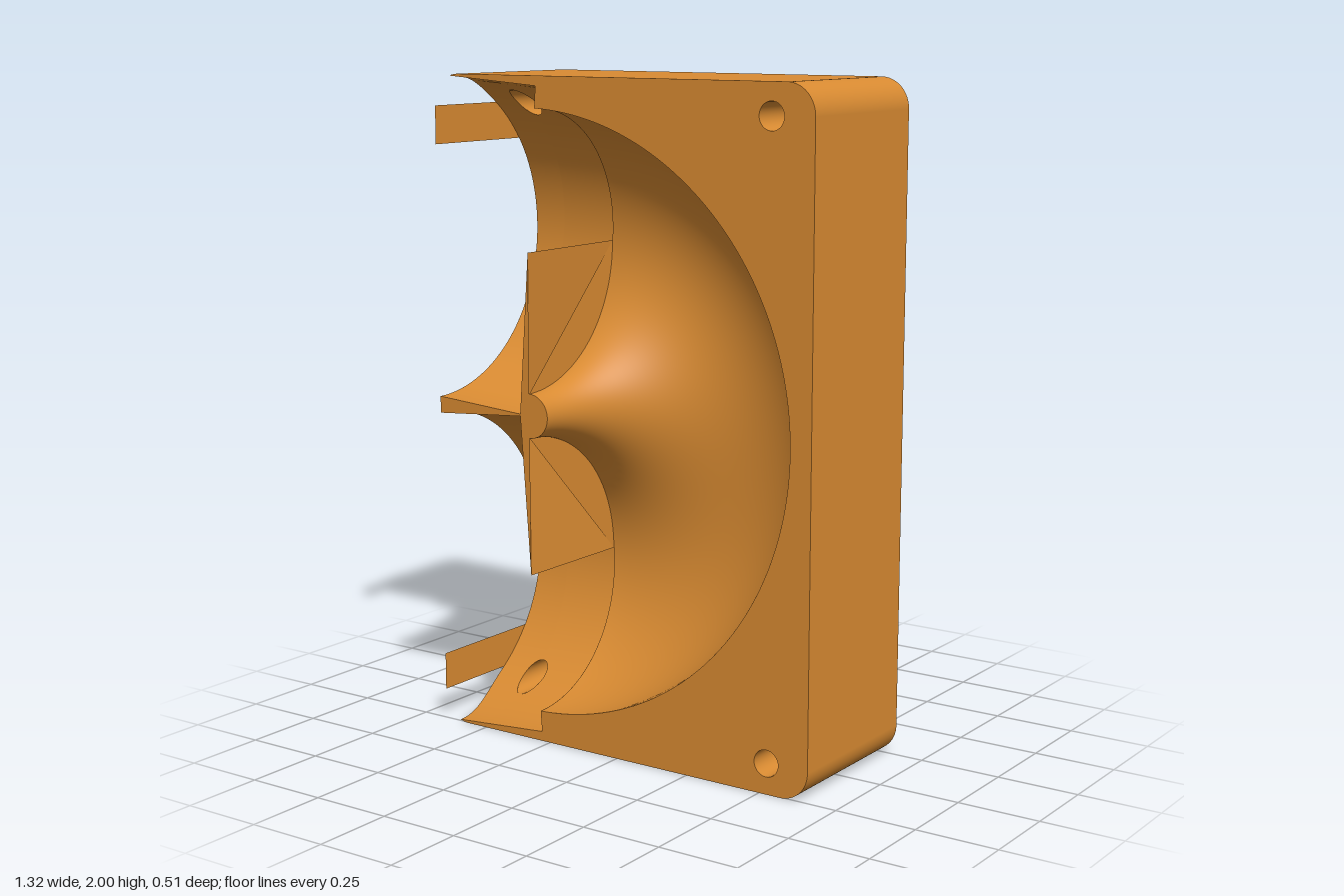
import * as THREE from 'three';

// Block size (worked with y centred on 0, lifted at the end)
const W = 0.66, H = 1, Z = 0.255, RC = 0.09;
const CX = W - RC, CY = H - RC;
// Bend: half torus about (BX, 0); ports: wider cylinders tilted by A
const BX = -0.315, R = 0.487, RT = 0.42, RP = 0.485, A = 0.072;
const SA = Math.sin(A), CA = Math.cos(A);
// Screw holes and nut pockets
const HX = 0.523, HY = 0.908, RH = 0.04, RHEX = 0.08, ZP = -0.195;
const PI = Math.PI;

const V = (x, y, z) => new THREE.Vector3(x, y, z);
const range = (n, f) => Array.from({ length: n + 1 }, (_, i) => f(i / n));

// Surface through rows of points
function grid(rows) {
  const n = rows[0].length, index = [];
  for (let i = 0; i < rows.length - 1; i++)
    for (let j = 0; j < n - 1; j++) {
      const a = i * n + j, b = a + n;
      index.push(a, b, b + 1, a, b + 1, a + 1);
    }
  const g = new THREE.BufferGeometry().setFromPoints(rows.flat());
  g.setIndex(index);
  g.computeVertexNormals();
  return g;
}

// Flat shape whose points are moved into place by a rule
function mapped(shape, fn) {
  const g = new THREE.ShapeGeometry(shape, 64), p = g.attributes.position;
  for (let i = 0; i < p.count; i++) p.setXYZ(i, ...fn(p.getX(i), p.getY(i)));
  g.computeVertexNormals();
  return g;
}

function mirrorY(geo) {
  const g = geo.clone().scale(1, -1, 1);
  g.setIndex(Array.from(g.index.array).reverse());
  return g;
}

// Point of the upper port frame: s along the axis, v across, w into the block
const port = (s, v, w) => V(BX - CA * s + SA * v, R + SA * s + CA * v, Z - w);

// Front limit of the material at (x, y), taking the ports into account
function frontZ(x, y) {
  const dx = x - BX, dy = Math.abs(y) - R;
  const s = -CA * dx + SA * dy, v = SA * dx + CA * dy;
  return s > 0 && Math.abs(v) < RP ? Z - Math.sqrt(RP * RP - v * v) : Z;
}

// Distance along the port at which it leaves the block
function portEnd(v) {
  const p = port(0, v, 0), s = (p.x + W) / CA;
  if (p.y + s * SA <= CY) return s;
  const qx = p.x + CX, qy = p.y - CY, b = -CA * qx + SA * qy;
  return -b + Math.sqrt(Math.max(0, b * b - qx * qx - qy * qy + RC * RC));
}

function roundedRect() {
  const s = new THREE.Shape();
  s.absarc(CX, -CY, RC, -PI / 2, 0);
  s.absarc(CX, CY, RC, 0, PI / 2);
  s.absarc(-CX, CY, RC, PI / 2, PI);
  s.absarc(-CX, -CY, RC, PI, PI * 1.5);
  s.closePath();
  return s;
}

const ring = (x, y, r, n, start = 0) =>
  range(n, t => new THREE.Vector2(x + r * Math.cos(start + t * 2 * PI), y + r * Math.sin(start + t * 2 * PI)));

export function createModel() {
  const root = new THREE.Group(), body = new THREE.Group();
  body.name = 'ductBlock';
  body.position.y = H;
  root.add(body);
  const orange = new THREE.MeshStandardMaterial({ color: 0xd98b32, side: THREE.DoubleSide });
  orange.name = 'orange';
  const add = (name, geo) => {
    const m = new THREE.Mesh(geo, orange);
    m.name = name;
    body.add(m);
  };
  const addPair = (name, geo) => {
    add('upper' + name, geo);
    add('lower' + name, mirrorY(geo));
  };

  // Outer wall, its front edge scooped out by the two ports
  const arc = (x, y, a) => range(48, t => [x + RC * Math.cos(a + t * PI / 2), y + RC * Math.sin(a + t * PI / 2)]);
  const midV = R + SA * (BX + W) / CA;
  const leftUp = range(64, t => midV + RP / CA * Math.cos(t * PI)).filter(y => y < CY);
  const left = [...leftUp, ...leftUp.map(y => -y).reverse()].map(y => [-W, y]);
  const rim = [...arc(CX, -CY, -PI / 2), ...arc(CX, CY, 0), ...arc(-CX, CY, PI / 2),
    ...left, ...arc(-CX, -CY, PI)];
  rim.push(rim[0]);
  add('outerWall', grid([rim.map(([x, y]) => V(x, y, frontZ(x, y))), rim.map(([x, y]) => V(x, y, -Z))]));

  // Thin strips left standing across the port mouths
  const stripY = range(8, t => 0.905 - 0.115 * t);
  addPair('MouthStrip', grid([stripY.map(y => V(-W, y, Z)), stripY.map(y => V(-W, y, frontZ(-W, y)))]));

  // Back face with hexagonal openings
  const corners = [[HX, HY], [-HX, HY], [HX, -HY], [-HX, -HY]];
  const back = roundedRect();
  for (const [x, y] of corners) back.holes.push(new THREE.Path(ring(x, y, RHEX, 6, PI / 6)));
  add('backFace', new THREE.ShapeGeometry(back, 48).rotateY(PI).translate(0, 0, -Z));

  // Nut pockets and screw holes
  for (const [x, y] of corners) {
    const hex = ring(x, y, RHEX, 6, PI / 6), hole = ring(x, y, RH, 32);
    const walls = grid([hex.map(p => V(p.x, p.y, -Z)), hex.map(p => V(p.x, p.y, ZP))]).toNonIndexed();
    walls.computeVertexNormals();
    add('nutPocketWall', walls);
    const floor = new THREE.Shape(ring(0, 0, RHEX, 6, PI / 6));
    floor.holes.push(new THREE.Path(ring(0, 0, RH, 32)));
    add('nutPocketFloor', new THREE.ShapeGeometry(floor).rotateY(PI).translate(x, y, ZP));
    add('screwHole', grid([hole.map(p => V(p.x, p.y, ZP)), hole.map(p => V(p.x, p.y, frontZ(p.x, p.y)))]));
  }

  // Front face around the bend
  const tiltAt = rho => Math.max(0, A - Math.asin(Math.min(1, R * SA / rho)));
  const e = port(portEnd(RP), RP, 0), t = port(0, RP, 0);
  const eA = Math.atan2(e.y - CY, e.x + CX), open = PI / 2 - tiltAt(R + RT);
  const front = new THREE.Shape();
  front.moveTo(e.x, e.y);
  front.absarc(-CX, CY, RC, eA, PI / 2, true);
  front.absarc(CX, CY, RC, PI / 2, 0, true);
  front.absarc(CX, -CY, RC, 0, -PI / 2, true);
  front.absarc(-CX, -CY, RC, -PI / 2, -eA, true);
  front.lineTo(t.x, -t.y);
  front.absarc(BX, 0, R + RT, -open, open, false);
  front.lineTo(t.x, t.y);
  front.closePath();
  for (const s of [1, -1]) front.holes.push(new THREE.Path(ring(HX, s * HY, RH, 32)));
  add('frontFace', mapped(front, (x, y) => [x, y, Z]));

  // Front of the divider: tapering fin, two thin wedges and the hub
  const f = port(0, -RP, 0), m = port(portEnd(-RP), -RP, 0);
  const fin = new THREE.Shape();
  fin.moveTo(m.x, -m.y);
  fin.lineTo(f.x, -f.y);
  fin.lineTo(BX, -R);
  fin.absarc(BX, 0, R - RT, -PI / 2, PI / 2, false);
  fin.lineTo(BX, R);
  fin.lineTo(f.x, f.y);
  fin.lineTo(m.x, m.y);
  fin.closePath();
  add('dividerFront', mapped(fin, (x, y) => [x, y, Z]));

  // Half-torus bend
  add('bendChannel', grid(range(48, u => {
    const psi = PI * (1 - u), rho = R + RT * Math.cos(psi);
    const end = PI / 2 - tiltAt(rho);
    return range(80, k => {
      const phi = end * (2 * k - 1);
      return V(BX + rho * Math.cos(phi), rho * Math.sin(phi), Z - RT * Math.sin(psi));
    });
  })));

  // Tilted port channels, each pierced by a screw hole
  const dx = -HX - BX, dy = HY - R;
  const s0 = -CA * dx + SA * dy, v0 = SA * dx + CA * dy;
  const vs = [...range(72, k => RP * Math.cos(k * PI)), ...range(24, k => v0 + RH * Math.cos(k * PI))]
    .sort((a, b) => b - a);
  const row = sFn => vs.map(v => port(sFn(v), v, Math.sqrt(Math.max(0, RP * RP - v * v))));
  const half = v => Math.sqrt(Math.max(0, RH * RH - (v - v0) ** 2));
  addPair('PortInner', grid([row(() => 0), row(v => s0 - half(v))]));
  addPair('PortOuter', grid([row(v => s0 + half(v)), row(portEnd)]));

  // Step at the end of each port, closed on its inner half
  const step = new THREE.Shape();
  step.moveTo(-RP, 0);
  step.absarc(0, 0, RP, PI, 0, true);
  step.lineTo(RT, 0);
  step.absarc(0, 0, RT, 0, PI / 2, false);
  step.lineTo(0, 0);
  step.closePath();
  addPair('PortStep', mapped(step, (v, w) => port(0, v, w).toArray()));

  // Wedge wall facing the bend
  const wedge = new THREE.Shape();
  wedge.moveTo(0, 0);
  wedge.absarc(0, 0, RT, -PI / 2, 0, false);
  wedge.closePath();
  addPair('WedgeWall', mapped(wedge, (w, u) => [BX, R + u, Z - w]));

  return root;
}
